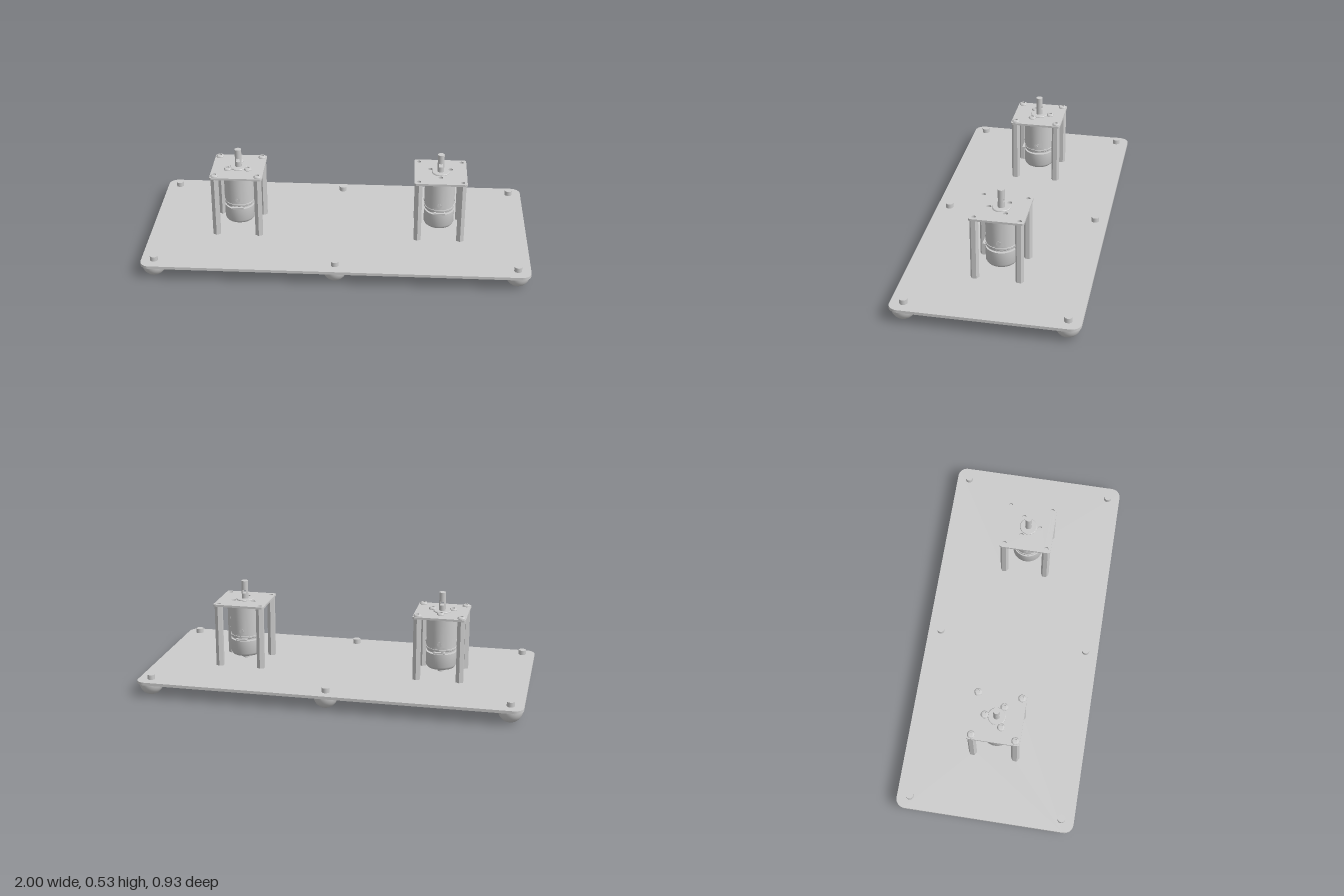
import * as THREE from 'three';
import { toCreasedNormals } from 'three/addons/utils/BufferGeometryUtils.js';

const grey = new THREE.MeshStandardMaterial({ color: 0xcccccc });

function add(parent, name, geometry, x = 0, y = 0, z = 0) {
  const mesh = new THREE.Mesh(geometry, grey);
  mesh.name = name;
  mesh.position.set(x, y, z);
  parent.add(mesh);
  return mesh;
}

// Solid of revolution with crisp edges, profile listed from bottom to top
const turned = (points, sides = 48) =>
  toCreasedNormals(new THREE.LatheGeometry(points.map(([r, y]) => new THREE.Vector2(r, y)), sides), 0.5);

// Horizontal rounded plate with holes given as [x, z, radius], base at y = 0
function plate(w, d, r, thickness, holes) {
  const s = new THREE.Shape();
  const x = w / 2, y = d / 2;
  s.moveTo(-x + r, -y);
  s.lineTo(x - r, -y).absarc(x - r, -y + r, r, -Math.PI / 2, 0);
  s.lineTo(x, y - r).absarc(x - r, y - r, r, 0, Math.PI / 2);
  s.lineTo(-x + r, y).absarc(-x + r, y - r, r, Math.PI / 2, Math.PI);
  s.lineTo(-x, -y + r).absarc(-x + r, -y + r, r, Math.PI, Math.PI * 1.5);
  for (const [hx, hz, hr] of holes) {
    s.holes.push(new THREE.Path().absarc(hx, -hz, hr, 0, Math.PI * 2, true));
  }
  return new THREE.ExtrudeGeometry(s, { depth: thickness, bevelEnabled: false, curveSegments: 12 })
    .rotateX(-Math.PI / 2);
}

const MOTOR_X = 0.533, POST = 0.113;
const corners = [[-POST, -POST], [POST, -POST], [-POST, POST], [POST, POST]];
const triangle = [0, 1, 2].map(i => {
  const a = -Math.PI / 2 + i * Math.PI * 2 / 3;
  return [0.062 * Math.cos(a), 0.062 * Math.sin(a)];
});

// Domed screw head with a socket recess
const screwGeometry = turned([[0.02, 0], [0.02, 0.003], [0.016, 0.009], [0.011, 0.011], [0.009, 0.011], [0.009, 0.004], [0, 0.004]], 24);

// Output shaft with a cross hole running along z
function makeShaft(r) {
  const g = new THREE.Group();
  g.name = 'outputShaft';
  add(g, 'shaftLower', new THREE.CylinderGeometry(r, r, 0.048, 32), 0, 0.436, 0);
  add(g, 'shaftUpper', new THREE.CylinderGeometry(r, r, 0.048, 32), 0, 0.504, 0);
  const half = Math.acos(0.01 / r);
  for (const a of [0, Math.PI]) {
    const s = new THREE.Shape().absarc(0, 0, r, a - half, a + half, false);
    s.closePath();
    add(g, 'shaftCheek', new THREE.ExtrudeGeometry(s, { depth: 0.02, bevelEnabled: false })
      .rotateX(-Math.PI / 2), 0, 0.46, 0);
  }
  return g;
}

function makeMotor() {
  const g = new THREE.Group();
  g.name = 'gearMotor';
  add(g, 'gearbox', turned([[0, 0.225], [0.078, 0.225], [0.08, 0.228], [0.08, 0.236], [0.077, 0.237],
    [0.077, 0.247], [0.08, 0.248], [0.08, 0.414], [0, 0.414]]));
  add(g, 'terminalDisc', new THREE.CylinderGeometry(0.076, 0.076, 0.008, 48), 0, 0.221, 0);
  add(g, 'terminalTabs', new THREE.BoxGeometry(0.06, 0.008, 0.184), 0, 0.221, 0);
  add(g, 'neck', new THREE.CylinderGeometry(0.03, 0.03, 0.012, 32), 0, 0.213, 0);
  add(g, 'rearCan', turned([[0, 0.125], [0.071, 0.125], [0.075, 0.129], [0.08, 0.14], [0.08, 0.21], [0, 0.21]]));
  add(g, 'rearBoss', new THREE.CylinderGeometry(0.018, 0.018, 0.028, 32), 0, 0.112, 0);
  add(g, 'frontBoss', turned([[0, 0.414], [0.046, 0.414], [0.046, 0.428], [0.043, 0.431], [0, 0.431]]));
  g.add(makeShaft(0.0175));
  // Small slotted screws around the gearbox
  for (let i = 0; i < 4; i++) {
    const side = new THREE.Group();
    side.name = 'sideScrew';
    side.rotation.y = i * Math.PI / 2;
    add(side, 'sideScrewHead', new THREE.CylinderGeometry(0.012, 0.012, 0.006, 24).rotateX(Math.PI / 2), 0, 0.266, 0.079);
    for (const a of [0.785, -0.785]) {
      add(side, 'sideScrewCross', new THREE.BoxGeometry(0.016, 0.003, 0.002).rotateZ(a), 0, 0.266, 0.082);
    }
    g.add(side);
  }
  return g;
}

// Motor on its raised plate; one assembly has screws, the other open holes
function makeAssembly(withScrews) {
  const g = new THREE.Group();
  g.name = 'motorAssembly';
  const holes = [
    ...corners.map(([x, z]) => [x, z, 0.011]),
    ...triangle.map(([x, z]) => [x, z, 0.012]),
    [0, 0, 0.046],
  ];
  add(g, 'mountPlate', plate(0.275, 0.275, 0.012, 0.011, holes), 0, 0.414, 0);
  for (const [x, z] of corners) {
    add(g, 'standoff', new THREE.CylinderGeometry(0.022, 0.022, 0.332, 6).toNonIndexed(), x, 0.248, z)
      .geometry.computeVertexNormals();
  }
  if (withScrews) {
    for (const [x, z] of [...corners, ...triangle]) add(g, 'screw', screwGeometry, x, 0.425, z);
  }
  g.add(makeMotor());
  return g;
}

export function createModel() {
  const model = new THREE.Group();
  model.name = 'motorTestBase';

  // Base board with bolt holes beneath the standoffs
  const boltHoles = [-MOTOR_X, MOTOR_X].flatMap(mx => corners.map(([x, z]) => [mx + x, z, 0.009]));
  add(model, 'baseBoard', plate(2, 0.934, 0.05, 0.015, boltHoles), 0, 0.067, 0);

  // Domed feet with studs coming through the board
  const dome = new THREE.SphereGeometry(0.063, 40, 16, 0, Math.PI * 2, Math.PI / 2, Math.PI / 2)
    .scale(1, 0.067 / 0.063, 1);
  const stud = new THREE.CylinderGeometry(0.02, 0.02, 0.04, 24);
  for (const x of [-0.933, 0, 0.933]) {
    for (const z of [-0.4, 0.4]) {
      add(model, 'foot', dome, x, 0.067, z);
      add(model, 'footStud', stud, x, 0.087, z);
    }
  }

  // Two motors, the second turned to face the other way
  const right = makeAssembly(true);
  right.position.x = -MOTOR_X;
  const left = makeAssembly(false);
  left.position.x = MOTOR_X;
  left.rotation.y = Math.PI;
  model.add(right, left);
  return model;
}
